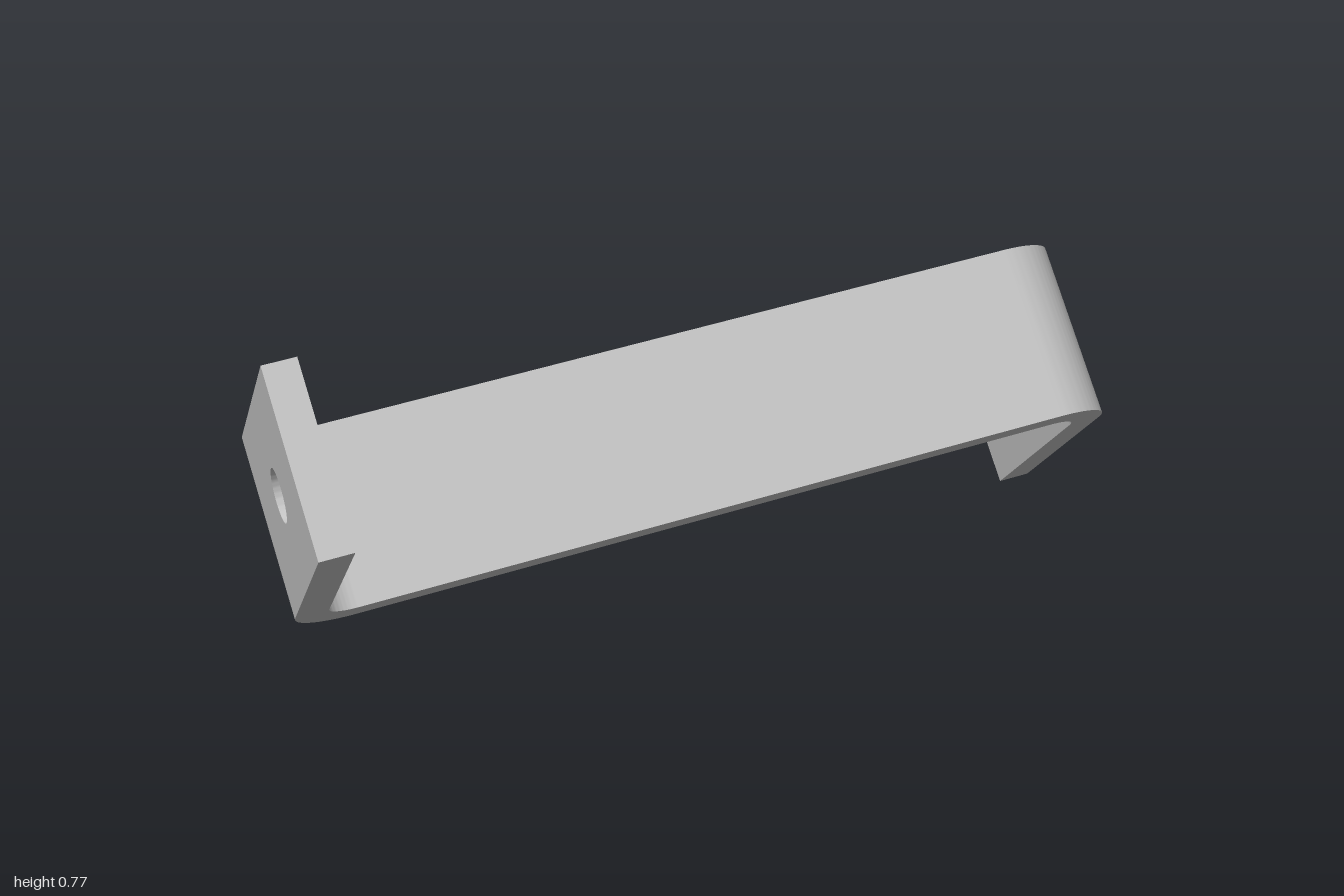
import * as THREE from 'three';
import { toCreasedNormals } from 'three/addons/utils/BufferGeometryUtils.js';

const HALF_SPAN = 0.972;   // centre to outer face of a tab
const THICK = 0.074;
const WIDTH = 0.406;
const TAB_END = 0.657;     // centre line of the span to the tab's free end
const R_IN = 0.074, R_OUT = R_IN + THICK;
const BEND_X = HALF_SPAN - R_OUT, BEND_Y = R_OUT - THICK / 2;

const steel = new THREE.MeshStandardMaterial({ color: 0xc4c4c4 });
steel.name = 'grey steel';

// Long bar with a rounded bend at each end, drawn as a Z profile
function spanGeometry() {
  const s = new THREE.Shape();
  s.moveTo(-BEND_X - R_IN, -BEND_Y);
  s.absarc(-BEND_X, -BEND_Y, R_IN, Math.PI, Math.PI / 2, true);
  s.absarc(BEND_X, BEND_Y, R_OUT, -Math.PI / 2, 0, false);
  s.lineTo(BEND_X + R_IN, BEND_Y);
  s.absarc(BEND_X, BEND_Y, R_IN, 0, -Math.PI / 2, true);
  s.absarc(-BEND_X, -BEND_Y, R_OUT, Math.PI / 2, Math.PI, false);
  s.closePath();
  const g = new THREE.ExtrudeGeometry(s, { depth: WIDTH, bevelEnabled: false, curveSegments: 16 });
  g.translate(0, 0, -WIDTH / 2);
  return toCreasedNormals(g, 0.5);
}

// Flat tab with a round bolt hole
function tabGeometry() {
  const w = WIDTH / 2;
  const s = new THREE.Shape();
  s.moveTo(-w, -TAB_END);
  s.lineTo(w, -TAB_END);
  s.lineTo(w, -BEND_Y);
  s.lineTo(-w, -BEND_Y);
  s.closePath();
  const hole = new THREE.Path();
  hole.absarc(0, -0.39, 0.058, 0, Math.PI * 2, true);
  s.holes.push(hole);
  const g = new THREE.ExtrudeGeometry(s, { depth: THICK, bevelEnabled: false, curveSegments: 32 });
  g.rotateY(Math.PI / 2);
  g.translate(-HALF_SPAN, 0, 0);
  return toCreasedNormals(g, 0.5);
}

export function createModel() {
  const bracket = new THREE.Group();
  bracket.name = 'bracket';

  const span = new THREE.Mesh(spanGeometry(), steel);
  span.name = 'bentSpan';
  bracket.add(span);

  const tab = tabGeometry();
  ['rightTab', 'leftTab'].forEach((name, i) => {
    const mesh = new THREE.Mesh(tab, steel);
    mesh.name = name;
    mesh.rotation.z = i * Math.PI;
    bracket.add(mesh);
  });

  // Tilt the whole bracket: along the span, along the tabs, across the strip
  const along = new THREE.Vector3(0.985, 0.152, -0.0845).normalize();
  const across = new THREE.Vector3(-0.1736, 0.8315, -0.5285).normalize();
  const down = new THREE.Vector3().crossVectors(across, along).normalize();
  across.crossVectors(along, down);
  bracket.applyMatrix4(new THREE.Matrix4().makeBasis(along, down, across));
  bracket.position.y = 0.387;

  const model = new THREE.Group();
  model.name = 'zBracket';
  model.add(bracket);
  return model;
}
